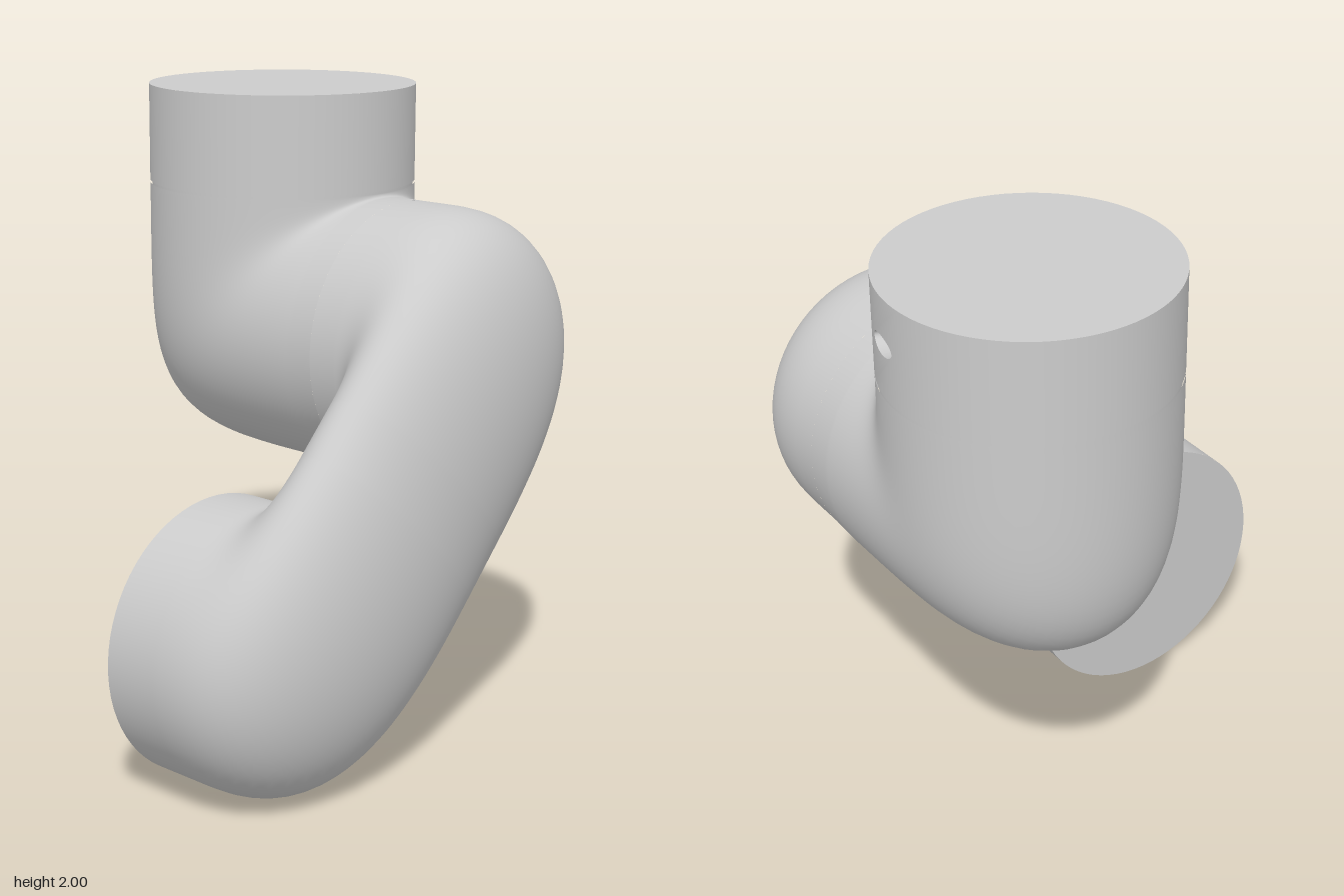
import * as THREE from 'three';

const V = (x, y, z) => new THREE.Vector3(x, y, z);
const R = 0.43; // pipe radius
const grey = new THREE.MeshStandardMaterial({ color: 0xcccccc });
const greyDouble = new THREE.MeshStandardMaterial({ color: 0xcccccc, side: THREE.DoubleSide });

// Sections turning about a pivot from direction d0 to d1: the inner edge is a
// small fillet of radius r, the outer edge a superellipse of radii A and B.
function bend(pivot, d0, d1, r, A, B, n, steps = 40) {
  const out = [];
  for (let i = 0; i <= steps; i++) {
    const a = (i / steps) * Math.PI / 2;
    const c = Math.abs(Math.cos(a)), s = Math.sin(a);
    const dir = d0.clone().multiplyScalar(c).addScaledVector(d1, s);
    const rho = ((c / (A + r)) ** n + (s / (B + r)) ** n) ** (-1 / n);
    out.push({
      inner: pivot.clone().addScaledVector(dir, r),
      outer: pivot.clone().addScaledVector(dir, rho),
    });
  }
  return out;
}

// Skin of elliptical rings, each spanning inner to outer and +-R along side
function loft(sections, side, n = 72) {
  const pos = [], idx = [];
  sections.forEach(({ inner, outer }, i) => {
    const mid = inner.clone().add(outer).multiplyScalar(0.5);
    const half = outer.clone().sub(inner).multiplyScalar(0.5);
    for (let j = 0; j < n; j++) {
      const t = (j / n) * Math.PI * 2;
      const p = mid.clone().addScaledVector(half, Math.cos(t)).addScaledVector(side, R * Math.sin(t));
      pos.push(p.x, p.y, p.z);
      if (i === 0) continue;
      const a = (i - 1) * n + j, b = (i - 1) * n + (j + 1) % n;
      idx.push(a, b, a + n, b, b + n, a + n);
    }
  });
  const g = new THREE.BufferGeometry();
  g.setAttribute('position', new THREE.Float32BufferAttribute(pos, 3));
  g.setIndex(idx);
  g.computeVertexNormals();
  return g;
}

export function createModel() {
  const model = new THREE.Group();
  const add = (name, geometry, material = grey, parent = model) => {
    const m = new THREE.Mesh(geometry, material);
    m.name = name;
    parent.add(m);
    return m;
  };

  const upper = V(0.37, 1.24, 0), lower = V(-0.38, 0.43, 0);
  const axisX = 0.375, axisZ = -0.305;
  const Z = V(0, 0, 1), Y = V(0, 1, 0);

  // Upper elbow: vertical pipe turning into a pipe running forward
  const r1 = 0.012, seamZ = 0.225;
  const elbow = bend(V(axisX, 1.67 + r1, axisZ + R + r1), Z.clone().negate(), Y.clone().negate(), r1, 2 * R, 2 * R, 5);
  elbow.push({ inner: V(upper.x, 1.67, seamZ), outer: V(upper.x, 0.81, seamZ) });
  add('upperElbow', loft(elbow, V(1, 0, 0)));

  // Slanted arm: U-shaped pipe from the upper elbow to the lower joint
  const along = lower.clone().sub(upper), length = along.length();
  along.normalize();
  const back = along.clone().negate();
  const at = (s, z) => upper.clone().addScaledVector(along, s).addScaledVector(Z, z);
  const r2 = 0.03, innerZ = 0.35, thick = 0.39, endZ = 0.135;
  const arm = [
    { inner: at(R, seamZ), outer: at(-R, seamZ) },
    ...bend(at(R + r2, innerZ - r2), back, Z, r2, 2 * R, thick, 3),
    ...bend(at(length - R - r2, innerZ - r2), Z, along, r2, thick, 2 * R, 3),
    { inner: at(length - R, endZ), outer: at(length + R, endZ) },
  ];
  add('arm', loft(arm, Z.clone().cross(back)));

  // Lower joint face and its raised hub
  const face = add('jointFace', new THREE.CircleGeometry(R, 72));
  face.rotation.y = Math.PI;
  face.position.set(lower.x, lower.y, endZ);
  const hub = add('jointHub', new THREE.CylinderGeometry(0.185, 0.185, 0.03, 48));
  hub.rotation.x = Math.PI / 2;
  hub.position.set(lower.x, lower.y, endZ - 0.005);

  // Collar on top, separated by a fine groove
  const collar = new THREE.Group();
  collar.name = 'collar';
  collar.position.set(axisX, 0, axisZ);
  model.add(collar);
  const core = add('grooveCore', new THREE.CylinderGeometry(R - 0.007, R - 0.007, 0.05, 72), grey, collar);
  core.position.y = 1.686;
  const top = add('collarTop', new THREE.CircleGeometry(R, 72), grey, collar);
  top.rotation.x = -Math.PI / 2;
  top.position.y = 2;
  const y0 = 1.69, h = 2 - y0, phi = 0.187, spread = 0.24;
  const wall = add('collarWall', new THREE.CylinderGeometry(R, R, h, 72, 1, true,
    Math.PI / 2 - phi + spread, Math.PI * 2 - 2 * spread), grey, collar);
  wall.position.y = y0 + h / 2;

  // Wraps flat geometry (x along the wall, z outward) around the collar
  const wrap = (g, radial) => {
    const p = g.attributes.position;
    for (let i = 0; i < p.count; i++) {
      const a = phi - p.getX(i) / R, rad = R + p.getZ(i);
      p.setXYZ(i, rad * Math.cos(a), p.getY(i), rad * Math.sin(a));
      if (radial) g.attributes.normal.setXYZ(i, Math.cos(a), 0, Math.sin(a));
    }
    if (!radial) g.computeVertexNormals();
    return g;
  };

  // Wall panel with an oval recess
  const w = spread * R, holeY = 1.85, hw = 0.064, hh = 0.029, depth = 0.07;
  const edge = [];
  for (let i = 0; i <= 10; i++) edge.push(new THREE.Vector2(-w + 0.2 * w * i, y0));
  for (let i = 10; i >= 0; i--) edge.push(new THREE.Vector2(-w + 0.2 * w * i, 2));
  const panel = new THREE.Shape(edge);
  panel.holes.push(new THREE.Path().absellipse(0, holeY, hw, hh, 0, Math.PI * 2, true));
  add('collarPanel', wrap(new THREE.ShapeGeometry(panel, 20), true), grey, collar);
  const bore = new THREE.CylinderGeometry(1, 1, depth, 40, 1, true);
  bore.rotateX(Math.PI / 2).scale(hw, hh, 1).translate(0, holeY, -depth / 2);
  add('recessWall', wrap(bore), greyDouble, collar);
  const floor = new THREE.CircleGeometry(1, 40).scale(hw, hh, 1).translate(0, holeY, -depth);
  add('recessFloor', wrap(floor), greyDouble, collar);

  return model;
}
